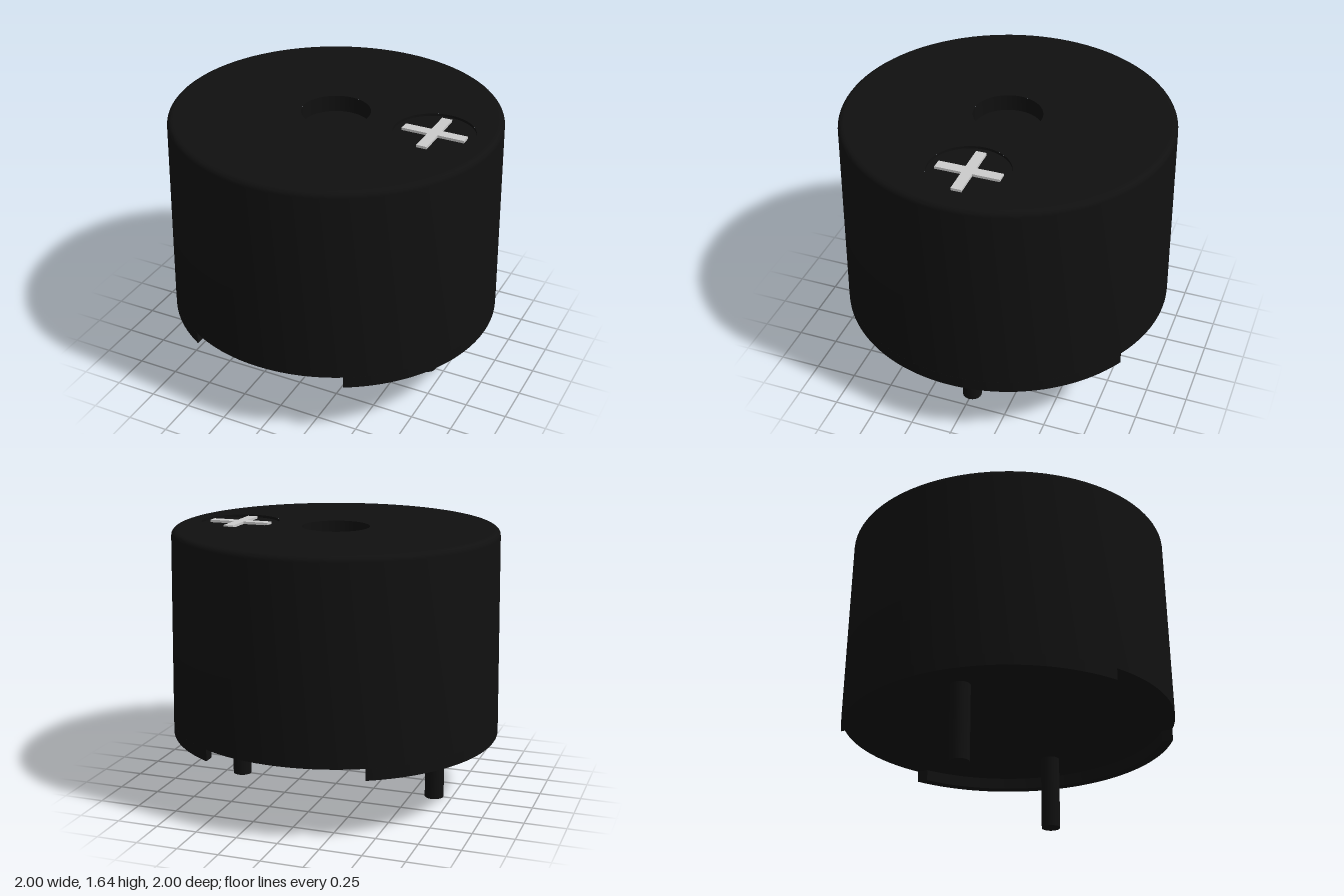
import * as THREE from 'three';
import { toCreasedNormals } from 'three/addons/utils/BufferGeometryUtils.js';

const SEG = 96;
const TOP = 1.64, FLOOR = 0.46, FOOT = 0.39;
const black = new THREE.MeshStandardMaterial({ color: 0x101010 });
const grey = new THREE.MeshStandardMaterial({ color: 0xcccccc });

function add(parent, name, geometry, material = black) {
  const mesh = new THREE.Mesh(geometry, material);
  mesh.name = name;
  parent.add(mesh);
  return mesh;
}

// Revolved profile with sharp edges kept
function turned(points) {
  const profile = points.map(([r, y]) => new THREE.Vector2(r, y));
  return toCreasedNormals(new THREE.LatheGeometry(profile, SEG), 0.6);
}

// Flat outline in plan, raised upwards by height
function raised(shape, height) {
  const g = new THREE.ExtrudeGeometry(shape, { depth: height, bevelEnabled: false, curveSegments: 48 });
  return toCreasedNormals(g.rotateX(-Math.PI / 2), 0.6);
}

export function createModel() {
  const group = new THREE.Group();
  group.name = 'buzzer';

  // Slightly tapered can with a rounded top edge
  const side = [[0, FLOOR], [1, FLOOR], [0.98, 1.605]];
  for (let i = 1; i <= 6; i++) {
    const a = (i / 6) * Math.PI / 2;
    side.push([0.945 + 0.035 * Math.cos(a), 1.605 + 0.035 * Math.sin(a)]);
  }
  add(group, 'housing', turned(side));

  // Top face, pierced for the sound hole and the polarity recess
  const face = new THREE.Shape().absarc(0, 0, 0.945, 0, Math.PI * 2);
  const wells = [
    { name: 'soundHole', x: 0, r: 0.204, depth: 0.1 },
    { name: 'polarityRecess', x: 0.62, r: 0.238, depth: 0.015 },
  ];
  for (const { name, x, r, depth } of wells) {
    face.holes.push(new THREE.Path().absarc(x, 0, r, 0, Math.PI * 2, true));
    add(group, name, turned([[r, TOP], [r, TOP - depth], [0, TOP - depth]])).position.x = x;
  }
  const faceGeometry = new THREE.ShapeGeometry(face, SEG).rotateX(-Math.PI / 2);
  add(group, 'topFace', faceGeometry).position.y = TOP;

  // Plus mark standing in its recess
  const a = 0.19, b = 0.031;
  const plus = new THREE.Shape([
    [a, -b], [a, b], [b, b], [b, a], [-b, a], [-b, b],
    [-a, b], [-a, -b], [-b, -b], [-b, -a], [b, -a], [b, -b],
  ].map(([x, y]) => new THREE.Vector2(x, y)));
  add(group, 'plusMark', raised(plus, 0.015), grey).position.set(0.62, TOP - 0.015, 0);

  // Curved rim foot and pin on each side
  const inner = 0.94, cut = 0.48;
  const outerAngle = Math.acos(cut), innerAngle = Math.acos(cut / inner);
  const rim = new THREE.Shape();
  rim.absarc(0, 0, 1, -outerAngle, outerAngle, false);
  rim.absarc(0, 0, inner, innerAngle, -innerAngle, true);
  rim.closePath();
  for (const [label, s] of [['left', 1], ['right', -1]]) {
    const foot = add(group, label + 'Foot', raised(rim, FLOOR - FOOT));
    foot.position.y = FOOT;
    foot.rotation.y = s > 0 ? 0 : Math.PI;
    const pin = add(group, label + 'Pin', new THREE.CylinderGeometry(0.058, 0.058, FLOOR, 32));
    pin.position.set(s * 0.64, FLOOR / 2, 0);
  }
  return group;
}
